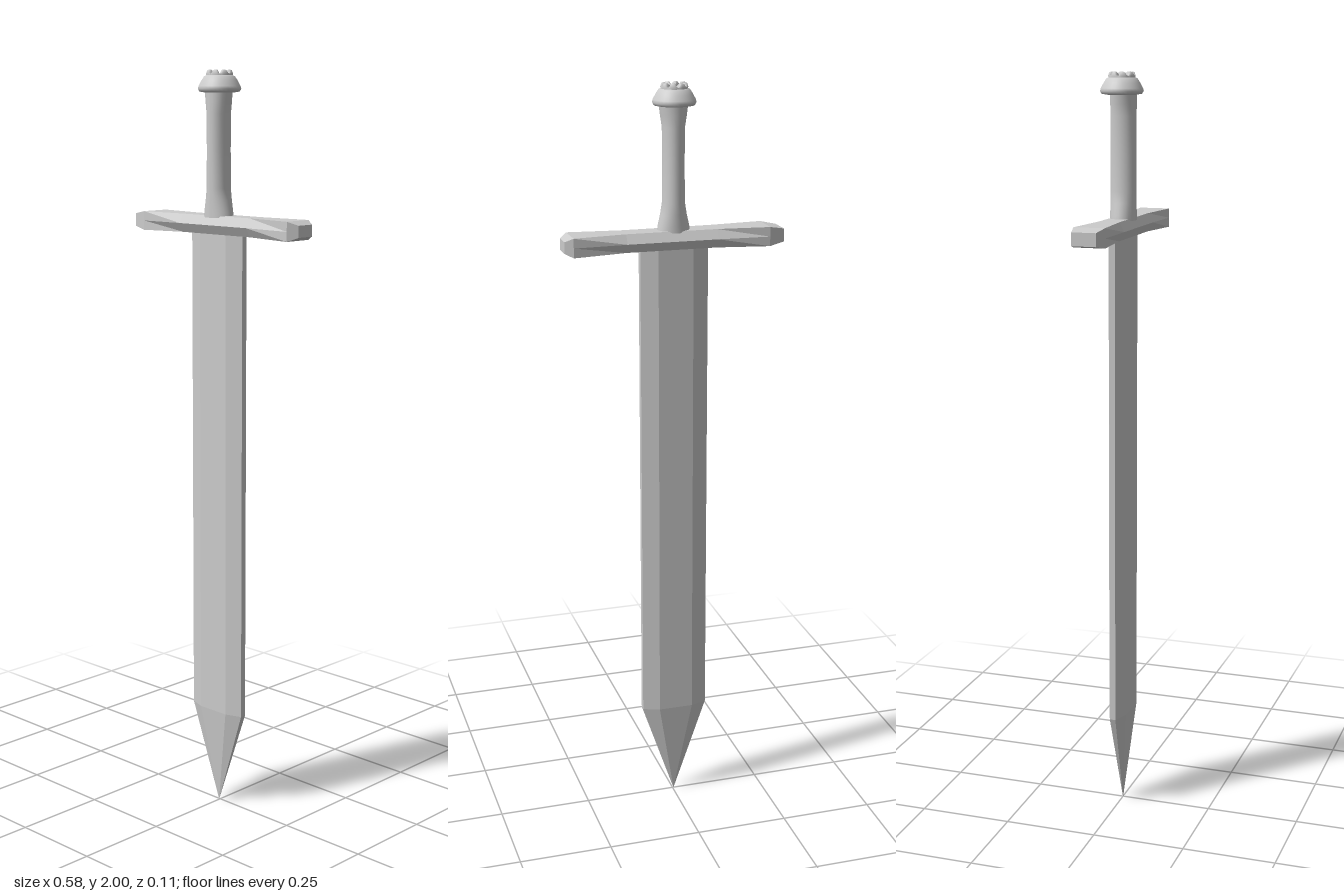
import * as THREE from 'three';

const flatMat = new THREE.MeshStandardMaterial({ color: 0xcccccc, flatShading: true });
const smoothMat = new THREE.MeshStandardMaterial({ color: 0xcccccc, side: THREE.DoubleSide });

// Skin a list of equal-length rings ([x, y, z] points, counter-clockwise along the path) and cap both ends
function loft(rings) {
  const pos = [];
  const tri = (a, b, c) => pos.push(...a, ...b, ...c);
  const n = rings[0].length;
  for (let i = 0; i < rings.length - 1; i++) {
    for (let j = 0; j < n; j++) {
      const k = (j + 1) % n;
      tri(rings[i][j], rings[i][k], rings[i + 1][k]);
      tri(rings[i][j], rings[i + 1][k], rings[i + 1][j]);
    }
  }
  const first = rings[0], last = rings[rings.length - 1];
  for (let j = 1; j < n - 1; j++) {
    tri(first[0], first[j + 1], first[j]);
    tri(last[0], last[j], last[j + 1]);
  }
  const geo = new THREE.BufferGeometry();
  geo.setAttribute('position', new THREE.Float32BufferAttribute(pos, 3));
  geo.computeVertexNormals();
  return geo;
}

// Lathe from [radius, y] pairs
function lathe(points, segments) {
  return new THREE.LatheGeometry(points.map(([r, y]) => new THREE.Vector2(r, y)), segments);
}

export function createModel() {
  const group = new THREE.Group();
  const add = (name, geo, mat) => {
    const mesh = new THREE.Mesh(geo, mat);
    mesh.name = name;
    group.add(mesh);
    return mesh;
  };

  // Blade: bevelled eight-sided section tapering to a point
  const section = (y, s) => [
    [0.091, -0.008], [0.047, -0.024], [-0.047, -0.024], [-0.091, -0.008],
    [-0.091, 0.008], [-0.047, 0.024], [0.047, 0.024], [0.091, 0.008],
  ].map(([x, z]) => [x * s - 0.003, y, z * s + 0.001]);
  add('blade', loft([section(0, 0.005), section(0.27, 1), section(1.61, 1)]), flatMat);

  // Crossguard: six-sided bar, pinched along the top and bottom, with chamfered square ends
  // x, centre z, top half-width, middle half-width, bottom half-width, top y, bottom y
  const guardSections = [
    [-0.291, -0.005, 0.032, 0.032, 0.032, 1.622, 1.588],
    [-0.25, -0.005, 0.041, 0.041, 0.041, 1.63, 1.58],
    [-0.11, -0.002, 0.028, 0.042, 0.028, 1.63, 1.582],
    [0.13, 0, 0.026, 0.04, 0.026, 1.63, 1.582],
    [0.27, 0.001, 0.041, 0.041, 0.041, 1.63, 1.58],
    [0.291, -0.004, 0.025, 0.025, 0.025, 1.62, 1.59],
  ];
  add('crossguard', loft(guardSections.map(([x, cz, t, m, b, y1, y0]) => {
    const ym = (y0 + y1) / 2;
    return [[t, y1], [m, ym], [b, y0], [-b, y0], [-m, ym], [-t, y1]]
      .map(([z, y]) => [x, y, z + cz]);
  })), flatMat);

  // Grip: waisted handle, oval, flaring at the foot and under the pommel
  const grip = lathe([
    [0.043, 1.625], [0.041, 1.64], [0.034, 1.67], [0.029, 1.70],
    [0.028, 1.80], [0.029, 1.89], [0.034, 1.92], [0.038, 1.95],
  ], 24);
  const gp = grip.attributes.position;
  for (let i = 0; i < gp.count; i++) {
    const r = Math.hypot(gp.getX(i), gp.getZ(i));
    gp.setZ(i, gp.getZ(i) * (0.034 / r));
  }
  grip.computeVertexNormals();
  add('grip', grip, smoothMat).position.set(-0.003, 0, 0.002);

  // Pommel: flanged collar below a rounded neck
  add('pommel', lathe([
    [0.034, 1.942], [0.052, 1.945], [0.056, 1.952], [0.054, 1.959],
    [0.047, 1.972], [0.040, 1.983], [0.034, 1.986],
  ], 32), smoothMat).position.set(-0.004, 0, -0.002);

  // Crown: cap with eight grooves pinched towards the centre
  const crown = lathe([
    [0.034, 1.982], [0.035, 1.990], [0.032, 1.999], [0.025, 2.0],
    [0.015, 1.994], [0.006, 1.987], [0, 1.984],
  ], 64);
  const cp = crown.attributes.position;
  for (let i = 0; i < cp.count; i++) {
    const x = cp.getX(i), z = cp.getZ(i), y = cp.getY(i);
    const groove = Math.pow(0.5 + 0.5 * Math.cos(8 * Math.atan2(z, x)), 3);
    if (y > 1.992) cp.setY(i, y - 0.011 * groove);
  }
  crown.computeVertexNormals();
  add('pommelCrown', crown, smoothMat).position.set(-0.004, 0, -0.002);

  return group;
}
